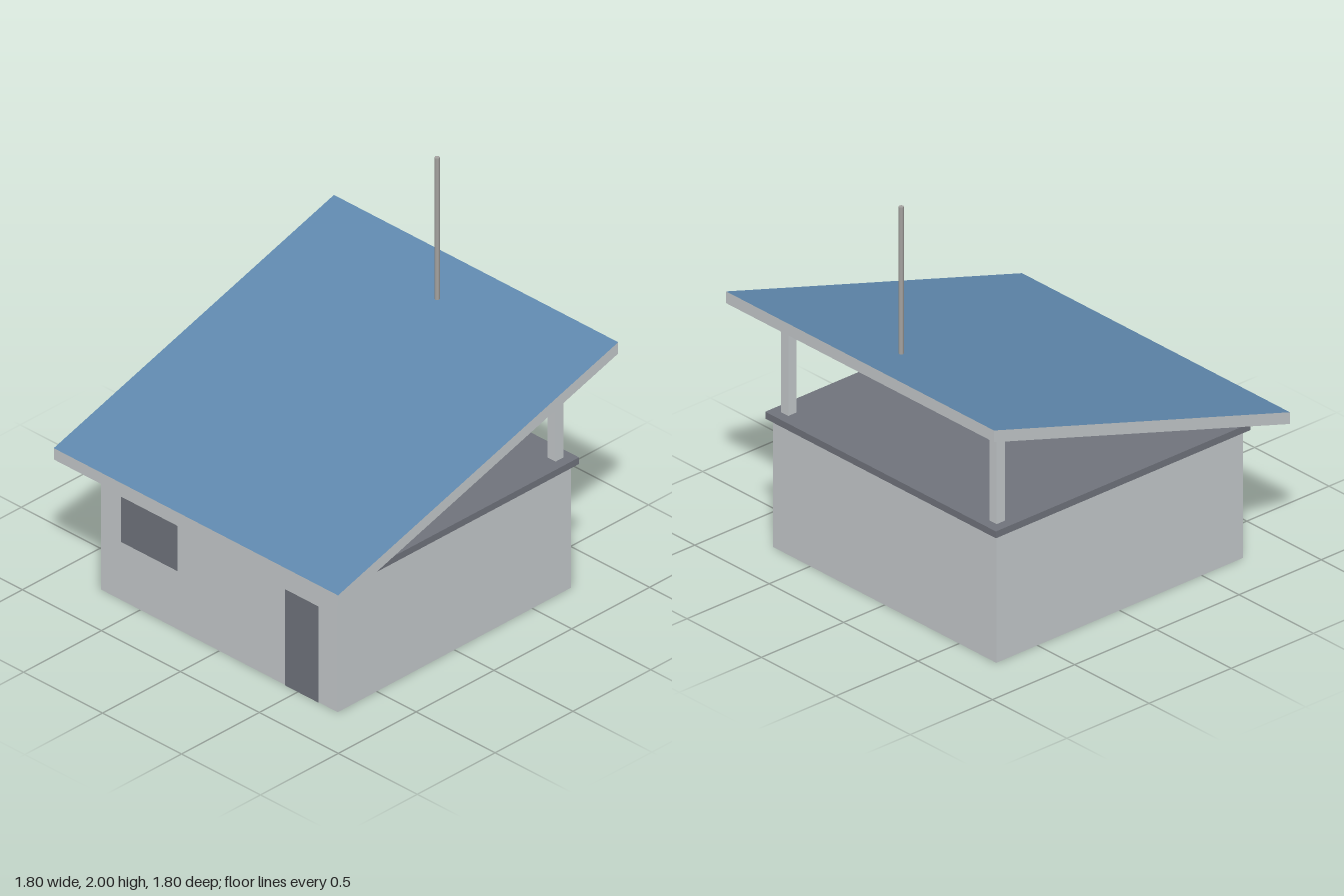
import * as THREE from 'three';

export function createModel() {
  const model = new THREE.Group();
  const mat = (name, color, side = THREE.FrontSide) => {
    const m = new THREE.MeshStandardMaterial({ color, side });
    m.name = name;
    return m;
  };
  const paleGrey = mat('pale grey', 0xc4c9cb);
  const wallGrey = mat('wall grey', 0xc4c9cb, THREE.DoubleSide);
  const slate = mat('slate', 0x70737c);
  const blue = mat('roof blue', 0x5f88ad);
  const poleGrey = mat('pole grey', 0xa5a3a0);

  const add = (name, geometry, material, x = 0, y = 0, z = 0) => {
    const mesh = new THREE.Mesh(geometry, material);
    mesh.name = name;
    mesh.position.set(x, y, z);
    model.add(mesh);
    return mesh;
  };

  // Four thin walls, open below
  const wallHeight = 0.655;
  for (let i = 0; i < 4; i++) {
    const a = i * Math.PI / 2;
    const wall = add('wall', new THREE.PlaneGeometry(1.5, wallHeight), wallGrey,
      0.75 * Math.sin(a), wallHeight / 2, 0.75 * Math.cos(a));
    wall.rotation.y = a;
  }

  // Ceiling slab overhanging the walls
  add('slab', new THREE.BoxGeometry(1.55, 0.035, 1.55), slate, 0, 0.6725, 0);

  // Window and door plates on the low side
  const plate = (name, z0, z1, y0, y1) => {
    const mesh = add(name, new THREE.PlaneGeometry(z1 - z0, y1 - y0), slate,
      -0.753, (y0 + y1) / 2, (z0 + z1) / 2);
    mesh.rotation.y = -Math.PI / 2;
  };
  plate('window', -0.62, -0.26, 0.31, 0.55);
  plate('door', 0.42, 0.63, 0.0, 0.51);

  // Posts: short on the low side, tall on the high side
  for (const [x, top] of [[-0.7, 0.755], [0.7, 1.19]]) {
    for (const z of [-0.7, 0.7]) {
      const h = top - 0.69;
      add('post', new THREE.BoxGeometry(0.05, h, 0.05), paleGrey, x, 0.69 + h / 2, z);
    }
  }

  // Sloping roof: a box sheared upward along x, blue on top only
  const roof = new THREE.BoxGeometry(1.8, 0.06, 1.8);
  const p = roof.attributes.position;
  for (let i = 0; i < p.count; i++) p.setY(i, p.getY(i) + p.getX(i) * 0.55 / 1.8);
  roof.computeVertexNormals();
  add('roof', roof, [paleGrey, paleGrey, blue, paleGrey, paleGrey, paleGrey], 0, 0.995, 0);

  // Mast above the roof
  const mast = new THREE.CylinderGeometry(0.0125, 0.0125, 0.75, 8);
  add('mast', mast, poleGrey, 0.65, 1.625, 0);

  return model;
}
